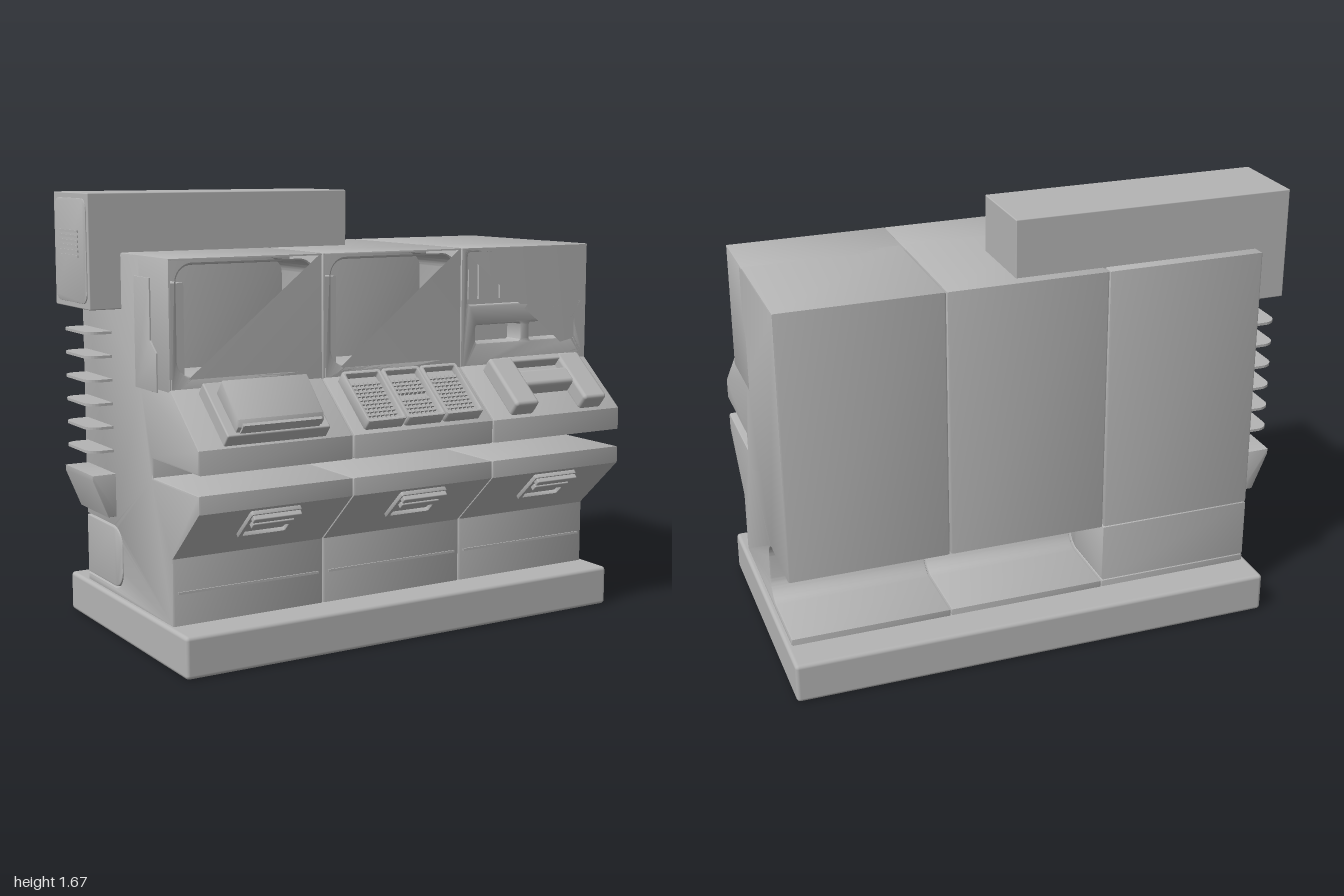
import * as THREE from 'three';
import { mergeGeometries, toCreasedNormals } from 'three/addons/utils/BufferGeometryUtils.js';
import { RoundedBoxGeometry } from 'three/addons/geometries/RoundedBoxGeometry.js';

const grey = new THREE.MeshStandardMaterial({ color: 0xb4b4b4 });
grey.name = 'cabinet grey';

function add(parent, name, geometry) {
  const mesh = new THREE.Mesh(geometry, grey);
  mesh.name = name;
  parent.add(mesh);
  return mesh;
}

// Box given by its limits on each axis, with optional rounded edges
function span(x0, x1, y0, y1, z0, z1, r = 0) {
  const s = [x1 - x0, y1 - y0, z1 - z0];
  const g = r ? new RoundedBoxGeometry(...s, 2, r) : new THREE.BoxGeometry(...s);
  return g.translate((x0 + x1) / 2, (y0 + y1) / 2, (z0 + z1) / 2);
}

function roundRect(path, x0, x1, y0, y1, r) {
  path.moveTo(x0 + r, y0).lineTo(x1 - r, y0);
  path.absarc(x1 - r, y0 + r, r, -Math.PI / 2, 0);
  path.lineTo(x1, y1 - r).absarc(x1 - r, y1 - r, r, 0, Math.PI / 2);
  path.lineTo(x0 + r, y1).absarc(x0 + r, y1 - r, r, Math.PI / 2, Math.PI);
  path.lineTo(x0, y0 + r).absarc(x0 + r, y0 + r, r, Math.PI, Math.PI * 1.5);
  return path;
}

// Extrusion whose bevel stays inside the outline and the depth
function extrude(shape, depth, b) {
  const g = new THREE.ExtrudeGeometry(shape, {
    depth: depth - 2 * b, bevelEnabled: b > 0, bevelSize: b, bevelThickness: b,
    bevelOffset: -b, bevelSegments: 2, curveSegments: 10,
  });
  return toCreasedNormals(g.translate(0, 0, b), 0.6);
}

// Side profile in (z, y), extruded across from x0 to x1
function across(shape, x0, x1, b) {
  return extrude(shape, x1 - x0, b).rotateY(-Math.PI / 2).translate(x1, 0, 0);
}

// Cabinet side: foot recess at the back, shelf slot and sloped console in front
function bodyProfile() {
  const s = new THREE.Shape();
  s.moveTo(-0.44, 0.15);
  [[0.335, 0.15], [0.335, 0.4], [0.55, 0.6], [0.55, 0.665], [0.18, 0.665], [0.18, 0.735],
    [0.55, 0.735], [0.55, 0.82], [0.335, 1], [0.1, 1], [0.1, 1.455], [-0.44, 1.455],
    [-0.44, 0.42], [-0.18, 0.42]].forEach(([z, y]) => s.lineTo(z, y));
  s.absarc(-0.18, 0.34, 0.08, Math.PI / 2, 0, true);
  s.lineTo(-0.1, 0.26);
  s.absarc(-0.18, 0.26, 0.08, 0, -Math.PI / 2, true);
  s.lineTo(-0.44, 0.18);
  return s;
}

function footCover() {
  const s = new THREE.Shape();
  s.moveTo(-0.44, 0.185).lineTo(-0.18, 0.185);
  s.absarc(-0.18, 0.26, 0.075, -Math.PI / 2, 0);
  s.lineTo(-0.105, 0.34).absarc(-0.18, 0.34, 0.075, 0, Math.PI / 2);
  s.lineTo(-0.44, 0.415);
  return s;
}

// Upper front of a bay, pierced by the given openings [x0, x1, y0, y1, r]
function upperFront(x0, x1, openings) {
  const s = new THREE.Shape();
  roundRect(s, x0, x1, 0.97, 1.455, 0.002);
  openings.forEach((o) => s.holes.push(roundRect(new THREE.Path(), ...o)));
  return extrude(s, 0.285, 0.008).translate(0, 0, 0.05);
}

// Group lying on a slope: local y points outwards, local z runs down the slope
function slope(parent, name, y, z, angle) {
  const g = new THREE.Group();
  g.name = name;
  g.position.set(0, y, z);
  g.rotation.x = angle;
  parent.add(g);
  return g;
}

export function createModel() {
  const model = new THREE.Group();
  model.name = 'controlConsole';
  add(model, 'base', span(-0.89, 0.995, 0, 0.155, -0.58, 0.475, 0.015));

  // Three bays
  const bays = [[-0.872, -0.258], [-0.256, 0.358], [0.36, 0.975]];
  const windows = [[-0.84, -0.295], [-0.22, 0.325]];
  bays.forEach(([x0, x1], i) => {
    add(model, 'bayBody', across(bodyProfile(), x0, x1, 0.008));
    const openings = i < 2
      ? [[...windows[i], 1.04, 1.43, 0.06]]
      : [[0.39, 0.945, 1.235, 1.43, 0.012], [0.43, 0.645, 1.085, 1.155, 0.01], [0.69, 0.905, 1.085, 1.155, 0.01]];
    add(model, 'bayUpperFront', upperFront(x0, x1, openings));
    add(model, 'kickTrim', span(x0 + 0.02, x1 - 0.02, 0.27, 0.279, 0.32, 0.34));
  });
  add(model, 'footRecessCover', across(footCover(), -0.872, -0.258, 0.006));
  windows.forEach(([x]) => add(model, 'windowInnerWall', span(x - 0.01, x + 0.05, 1.03, 1.365, 0.09, 0.285)));

  // Indicator panel of the third bay
  add(model, 'indicatorBacking', span(0.385, 0.95, 1.23, 1.435, 0.2, 0.318));
  [[0.446, 0.52], [0.548, 0.623], [0.655, 0.73], [0.767, 0.842]].forEach(([a, b]) =>
    add(model, 'indicator', span(a, b, 1.255, 1.41, 0.31, 0.328)));
  [[1.255, 1.325], [1.34, 1.41]].forEach(([a, b]) =>
    add(model, 'smallIndicator', span(0.863, 0.912, a, b, 0.31, 0.328)));
  add(model, 'indicatorEdge', span(0.4, 0.436, 1.255, 1.37, 0.31, 0.325));
  add(model, 'slotBacking', span(0.4, 0.935, 1.07, 1.17, 0.12, 0.25));

  // Devices on the sloped console
  const desk = slope(model, 'consoleDevices', 1, 0.335, Math.atan2(0.18, 0.215));
  add(desk, 'printerBase', span(-0.77, -0.365, -0.01, 0.05, 0.02, 0.27, 0.006));
  const lid = new THREE.Shape([[0.07, 0.04], [0.07, 0.11], [0.235, 0.092], [0.255, 0.075], [0.255, 0.04]]
    .map(([s, n]) => new THREE.Vector2(s, n)).reverse());
  add(desk, 'printerLid', across(lid, -0.735, -0.395, 0.005));
  add(desk, 'printerSlot', span(-0.72, -0.41, 0.04, 0.088, 0.25, 0.262));

  // Keypads: raised frame, sunk floor and rows of keys
  const keys = [];
  [-0.12, 0.052, 0.223].forEach((cx, pad) => {
    const frame = roundRect(new THREE.Shape(), cx - 0.083, cx + 0.083, -0.262, -0.015, 0.012);
    frame.holes.push(roundRect(new THREE.Path(), cx - 0.07, cx + 0.07, -0.25, -0.03, 0.006));
    add(desk, 'keypadFrame', extrude(frame, 0.055, 0.004).rotateX(-Math.PI / 2).translate(0, -0.01, 0));
    add(desk, 'keypadFloor', span(cx - 0.075, cx + 0.075, -0.005, 0.018, 0.025, 0.255));
    for (let r = 0; r < 10; r++) {
      if (pad === 1 && r === 4) continue;
      for (let c = -3; c <= 3; c++) {
        const x = cx + c * 0.0185, s = 0.07 + r * 0.0187;
        keys.push(span(x - 0.0065, x + 0.0065, 0.015, 0.032, s - 0.0065, s + 0.0065));
      }
    }
  });
  add(desk, 'keypadKeys', mergeGeometries(keys));

  // Handset cradle
  [[0.45, 0.56], [0.78, 0.89]].forEach(([a, b]) =>
    add(desk, 'cradlePillar', span(a, b, -0.01, 0.062, 0.02, 0.265, 0.014)));
  add(desk, 'cradleBack', span(0.5, 0.84, -0.01, 0.06, 0.02, 0.05, 0.008));
  add(desk, 'cradleFloor', span(0.54, 0.8, -0.01, 0.02, 0.03, 0.1));
  add(desk, 'handsetBar', span(0.545, 0.795, -0.01, 0.058, 0.09, 0.17, 0.016));

  // Drawer handles beneath the shelf
  const under = slope(model, 'drawerHandles', 0.6, 0.55, Math.PI - Math.atan2(0.2, 0.215));
  [-0.567, 0.052, 0.668].forEach((cx) => {
    const frame = roundRect(new THREE.Shape(), cx - 0.1, cx + 0.1, -0.172, -0.015, 0.008);
    frame.holes.push(roundRect(new THREE.Path(), cx - 0.085, cx + 0.085, -0.158, -0.06, 0.006));
    add(under, 'handleFrame', extrude(frame, 0.026, 0.003).rotateX(-Math.PI / 2).translate(0, -0.01, 0));
    add(under, 'handleLip', span(cx - 0.095, cx + 0.095, 0, 0.034, 0.02, 0.045, 0.004));
    add(under, 'handleGrip', span(cx - 0.082, cx + 0.082, 0, 0.03, 0.062, 0.09, 0.004));
  });

  // Overhead box with a vent on its outer end
  add(model, 'overheadBox', span(-0.995, 0.085, 1.25, 1.67, -0.39, -0.065, 0.004));
  const plate = roundRect(new THREE.Shape(), -0.375, -0.08, 1.27, 1.65, 0.04);
  add(model, 'ventPlate', across(plate, -0.999, -0.99, 0.002));
  for (let i = 0; i < 6; i++) {
    const y = 1.435 + i * 0.018;
    add(model, 'ventSlat', span(-1.003, -0.995, y, y + 0.009, -0.32, -0.15));
  }

  // Rack of rounded shelves and a bin on the outer side
  for (let i = 0; i < 6; i++) {
    const shelf = new THREE.Shape();
    shelf.moveTo(-0.86, -0.41).lineTo(-0.86, -0.16).lineTo(-0.92, -0.16);
    shelf.absarc(-0.92, -0.21, 0.05, Math.PI / 2, Math.PI);
    shelf.lineTo(-0.97, -0.36).absarc(-0.92, -0.36, 0.05, Math.PI, Math.PI * 1.5);
    add(model, 'sideShelf', extrude(shelf, 0.01, 0).rotateX(Math.PI / 2).translate(0, 1.16 - i * 0.089, 0));
  }
  const bin = new THREE.Shape([[-0.86, 0.46], [-0.86, 0.625], [-0.965, 0.625], [-0.965, 0.605], [-0.905, 0.46]]
    .map(([x, y]) => new THREE.Vector2(x, y)));
  add(model, 'sideBin', extrude(bin, 0.27, 0.004).translate(0, 0, -0.42));

  // Thin stepped access panel on the same side
  const panel = new THREE.Shape([[0.06, 0.98], [0.24, 0.98], [0.24, 1.12], [0.19, 1.16], [0.19, 1.38], [0.06, 1.38]]
    .map(([z, y]) => new THREE.Vector2(z, y)));
  add(model, 'sideAccessPanel', across(panel, -0.878, -0.87, 0.002));
  return model;
}
